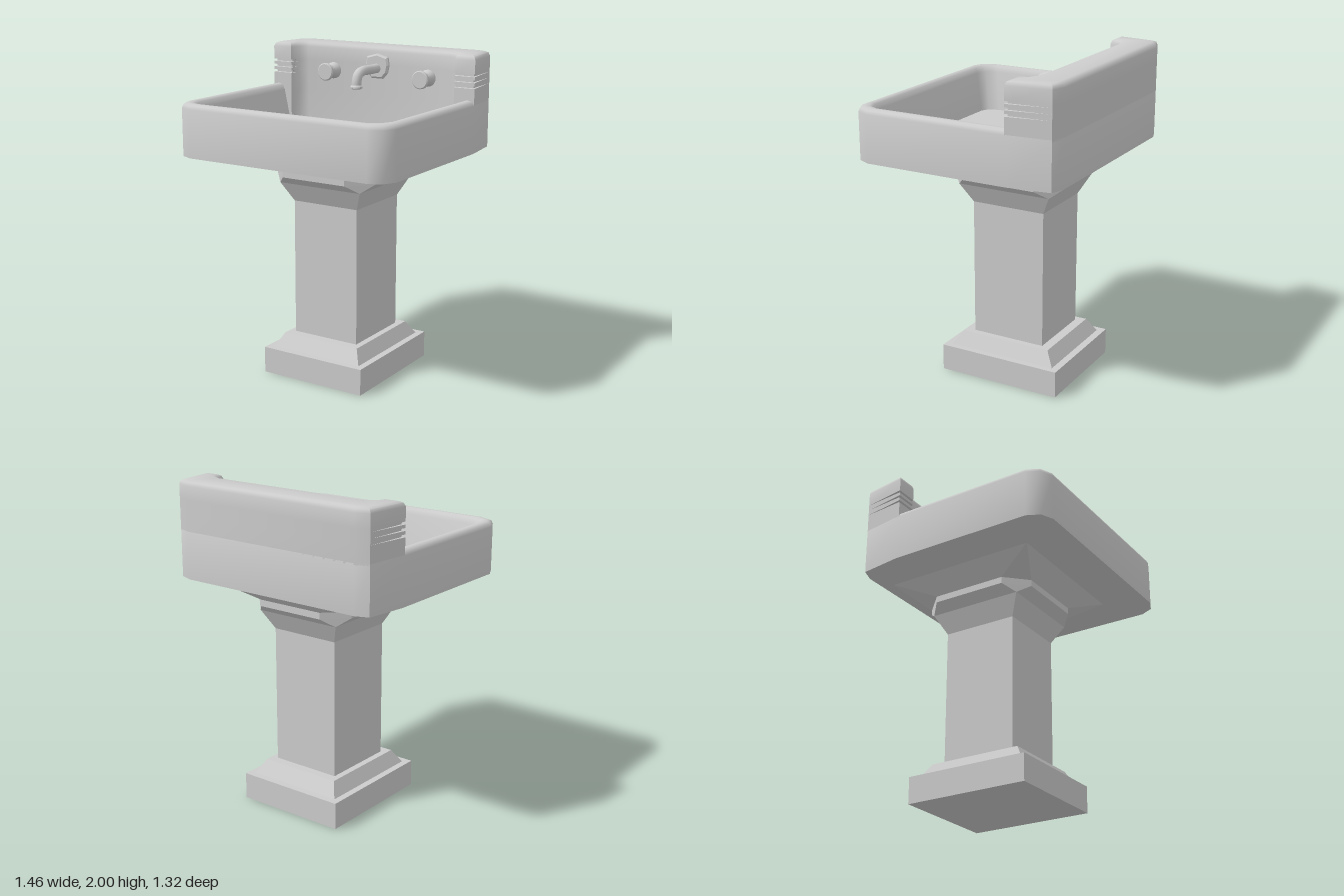
import * as THREE from 'three';
import { toCreasedNormals } from 'three/addons/utils/BufferGeometryUtils.js';

const material = new THREE.MeshStandardMaterial({ color: 0xcccccc });
const flatMaterial = new THREE.MeshStandardMaterial({ color: 0xcccccc, flatShading: true });

// Closed plan outline from its right half, listed front to back as [x, z]
const mirrorLoop = half => [...half, ...half.slice().reverse().map(([x, z]) => [-x, z])];

// Move every edge of an outline inward by d
function inset(loop, d) {
  const n = loop.length;
  const normal = (a, b) => {
    const dx = b[0] - a[0], dz = b[1] - a[1], l = Math.hypot(dx, dz);
    return [dz / l, -dx / l];
  };
  return loop.map((p, i) => {
    const u = normal(loop[(i + n - 1) % n], p), v = normal(p, loop[(i + 1) % n]);
    const k = d / (1 + u[0] * v[0] + u[1] * v[1]);
    return [p[0] + (u[0] + v[0]) * k, p[1] + (u[1] + v[1]) * k];
  });
}

const blend = (a, b, t) => a.map((p, i) => [p[0] + (b[i][0] - p[0]) * t, p[1] + (b[i][1] - p[1]) * t]);

// Skin a stack of [y, outline] sections and cap both ends
function loft(sections) {
  const out = [];
  const a = new THREE.Vector3(), b = new THREE.Vector3();
  const tri = (p, q, r) => {
    a.set(q[0] - p[0], q[1] - p[1], q[2] - p[2]);
    b.set(r[0] - p[0], r[1] - p[1], r[2] - p[2]);
    if (a.cross(b).length() > 1e-7) out.push(...p, ...q, ...r);
  };
  const rings = sections.map(([y, loop]) => loop.map(([x, z]) => [x, y, z]));
  for (let s = 0; s + 1 < rings.length; s++) {
    const lo = rings[s], hi = rings[s + 1], n = lo.length;
    for (let i = 0; i < n; i++) {
      const j = (i + 1) % n;
      tri(lo[i], lo[j], hi[j]);
      tri(lo[i], hi[j], hi[i]);
    }
  }
  const cap = (ring, up) => {
    const contour = ring.map(p => new THREE.Vector2(p[0], -p[2]));
    for (const [i, j, k] of THREE.ShapeUtils.triangulateShape(contour, [])) {
      if (up) tri(ring[i], ring[j], ring[k]);
      else tri(ring[i], ring[k], ring[j]);
    }
  };
  cap(rings[0], false);
  cap(rings[rings.length - 1], true);
  const g = new THREE.BufferGeometry();
  g.setAttribute('position', new THREE.Float32BufferAttribute(out, 3));
  g.computeVertexNormals();
  return g;
}

export function createModel() {
  const model = new THREE.Group();
  model.name = 'pedestalSink';
  const add = (name, geometry, mat = material, parent = model) => {
    const mesh = new THREE.Mesh(geometry, mat);
    mesh.name = name;
    parent.add(mesh);
    return mesh;
  };

  // Basin: outer wall, rolled rim, sloping inner wall and floor
  const outer = mirrorLoop([[0.61, 0.66], [0.69, 0.625], [0.73, 0.545], [0.73, -0.37], [0.695, -0.63], [0.61, -0.66]]);
  const inner = mirrorLoop([[0.52, 0.53], [0.575, 0.505], [0.595, 0.44], [0.595, -0.36], [0.575, -0.42], [0.52, -0.45]]);
  add('basin', toCreasedNormals(loft([
    [1.41, outer], [1.7, outer], [1.721, inset(outer, 0.009)], [1.73, inset(outer, 0.03)],
    [1.73, blend(outer, inner, 0.38)], [1.72, blend(outer, inner, 0.5)],
    [1.69, blend(outer, inner, 0.6)], [1.45, inner],
  ]), 0.9));

  // Backsplash with two forward wings, each cut by three grooves
  const splash = mirrorLoop([[0.52, -0.45], [0.575, -0.42], [0.595, -0.36], [0.73, -0.36], [0.695, -0.63], [0.61, -0.66]]);
  const grooved = splash.map(([x, z]) => [Math.abs(x) > 0.7 ? x - Math.sign(x) * 0.015 : x, z === -0.36 ? z - 0.015 : z]);
  const tucked = splash.map(([x, z]) => [Math.abs(x) > 0.6 ? x * 0.985 : x, z < -0.6 ? z + 0.01 : z]);
  const layers = [[1.452, tucked], [1.69, tucked], [1.69, splash]];
  for (const y of [1.81, 1.845, 1.88]) {
    layers.push([y - 0.008, splash], [y - 0.006, grooved], [y + 0.006, grooved], [y + 0.008, splash]);
  }
  layers.push([1.97, splash], [1.991, inset(splash, 0.009)], [2, inset(splash, 0.03)]);
  add('backsplash', toCreasedNormals(loft(layers), 0.9));

  // Pedestal, from plinth to flared collar under the basin: [y, half width, half depth, corner cut]
  const octagon = (w, d, c) => mirrorLoop([[w - c, d], [w, d - c], [w, c - d], [w - c, -d]]);
  const stack = rows => loft(rows.map(([y, w, d, c = 0]) => [y, octagon(w, d, c)]));
  const pedestal = new THREE.Group();
  pedestal.name = 'pedestal';
  pedestal.position.z = -0.097;
  model.add(pedestal);
  add('plinth', stack([
    [0, 0.354, 0.395], [0.165, 0.354, 0.395], [0.165, 0.312, 0.35], [0.25, 0.265, 0.295],
  ]), flatMaterial, pedestal);
  add('column', stack([[0.25, 0.225, 0.237], [1.1, 0.225, 0.237]]), flatMaterial, pedestal);
  add('collar', stack([
    [1.1, 0.225, 0.237], [1.22, 0.285, 0.302], [1.27, 0.35, 0.368, 0.13],
    [1.31, 0.35, 0.368, 0.13], [1.412, 0.47, 0.492],
  ]), flatMaterial, pedestal);

  // Faucet: wall plate, bent spout and outlet ring
  const faucet = new THREE.Group();
  faucet.name = 'faucet';
  faucet.position.x = 0.014;
  model.add(faucet);
  const plate = new THREE.Shape([
    [0.035, 1.815], [0.062, 1.845], [0.072, 1.89], [0.065, 1.93], [0, 1.948],
    [-0.065, 1.93], [-0.072, 1.89], [-0.062, 1.845], [-0.035, 1.815],
  ].map(p => new THREE.Vector2(...p)));
  add('wallPlate', new THREE.ExtrudeGeometry(plate, {
    depth: 0.012, bevelThickness: 0.01, bevelSize: 0.011, bevelSegments: 1,
  }), material, faucet).position.z = -0.444;
  const path = new THREE.CatmullRomCurve3([
    [0, 1.868, -0.46], [0, 1.868, -0.36], [0, 1.868, -0.25], [0, 1.85, -0.205], [0, 1.815, -0.19], [0, 1.78, -0.188],
  ].map(p => new THREE.Vector3(...p)));
  add('spout', new THREE.TubeGeometry(path, 24, 0.03, 12), material, faucet);
  const ring = [[0, 0], [0.03, 0], [0.038, 0.005], [0.038, 0.014], [0.029, 0.024], [0, 0.024]];
  const lathe = profile => toCreasedNormals(
    new THREE.LatheGeometry(profile.map(p => new THREE.Vector2(...p)), 20), 0.7);
  add('outletRing', lathe(ring), material, faucet).position.set(0, 1.768, -0.188);

  // Tap knobs on either side of the spout
  const knob = [[0, 0], [0.052, 0], [0.052, 0.015], [0.04, 0.035], [0.036, 0.06],
    [0.042, 0.09], [0.056, 0.094], [0.056, 0.108], [0.05, 0.113], [0, 0.113]];
  for (const [name, x] of [['leftKnob', 0.368], ['rightKnob', -0.32]]) {
    const mesh = add(name, lathe(knob));
    mesh.rotation.x = Math.PI / 2;
    mesh.position.set(x, 1.83, -0.452);
  }
  return model;
}
